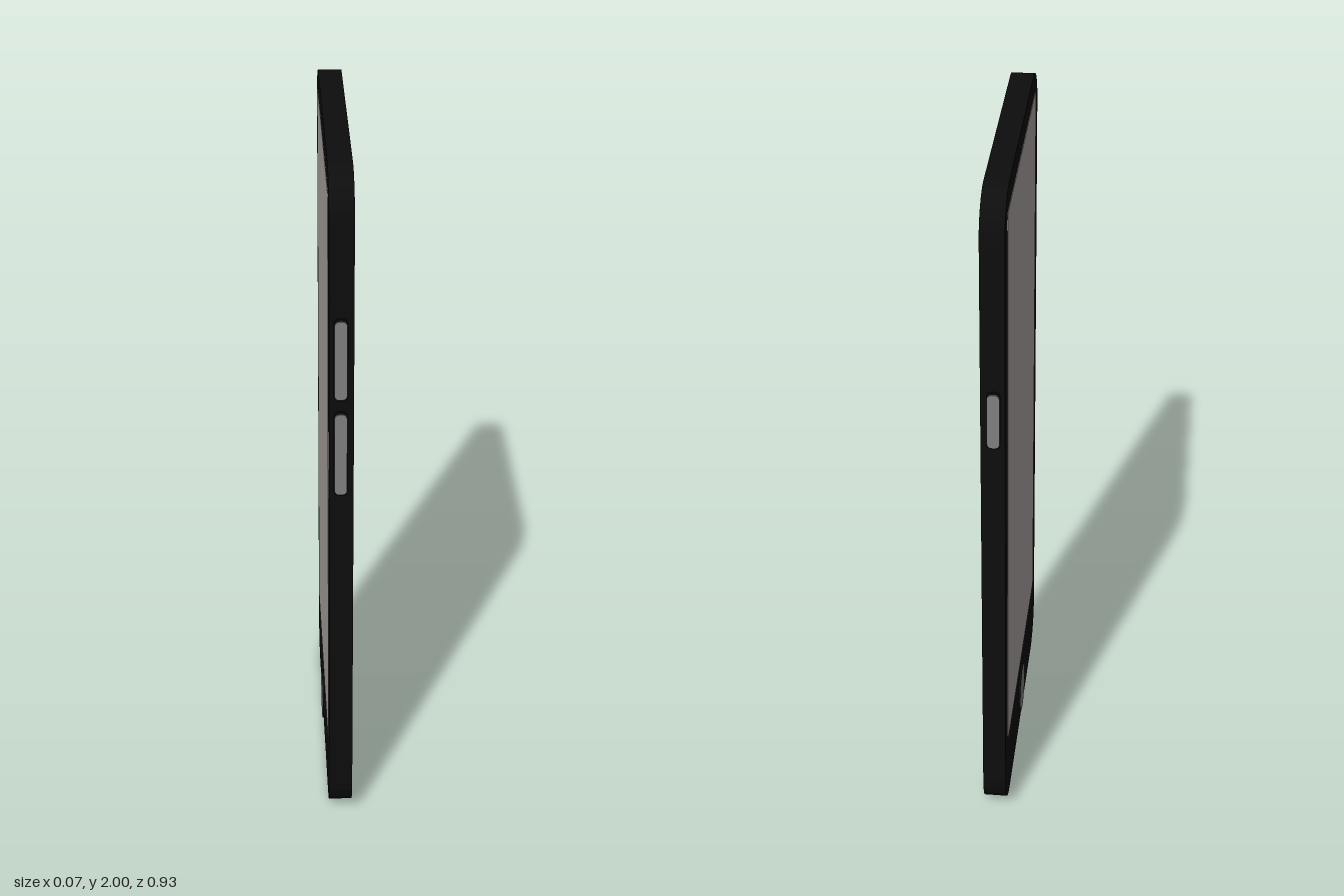
import * as THREE from 'three';

// Rounded rectangle centred on the origin
function roundedRect(w, h, r) {
  const s = new THREE.Shape();
  const x = w / 2, y = h / 2;
  s.absarc(x - r, y - r, r, 0, Math.PI / 2);
  s.absarc(-x + r, y - r, r, Math.PI / 2, Math.PI);
  s.absarc(-x + r, -y + r, r, Math.PI, Math.PI * 1.5);
  s.absarc(x - r, -y + r, r, Math.PI * 1.5, Math.PI * 2);
  s.closePath();
  return s;
}

function slab(w, h, r, depth, segments) {
  return new THREE.ExtrudeGeometry(roundedRect(w, h, r), {
    depth, bevelEnabled: false, curveSegments: segments,
  });
}

export function createModel() {
  const black = new THREE.MeshStandardMaterial({ color: 0x0d0d0d });
  black.name = 'black casing';
  const paleGrey = new THREE.MeshStandardMaterial({ color: 0xb0a8a6 });
  paleGrey.name = 'pale warm grey';
  const midGrey = new THREE.MeshStandardMaterial({ color: 0x808080 });
  midGrey.name = 'mid grey';

  const phone = new THREE.Group();
  phone.name = 'phone';
  const add = (name, geometry, material) => {
    const mesh = new THREE.Mesh(geometry, material);
    mesh.name = name;
    phone.add(mesh);
  };

  // Casing: thin along x, with coarse rounded corners
  add('casing', slab(0.912, 2, 0.115, 0.066, 3)
    .rotateY(Math.PI / 2).translate(-0.031, 1, 0), black);

  // Screen on the -x face
  add('screen', slab(0.79, 1.71, 0.018, 0.003, 3)
    .rotateY(Math.PI / 2).translate(-0.0325, 1.08, 0), paleGrey);

  // Round button below the screen, dark rim and grey face
  add('homeButton', new THREE.CylinderGeometry(0.075, 0.075, 0.01, 16)
    .rotateZ(Math.PI / 2).translate(-0.032, 0.11, 0), [black, midGrey, midGrey]);

  // Camera and flash discs on the +x face
  for (const [name, y, z, r, sides] of [
    ['cameraLens', 1.832, 0.245, 0.086, 16],
    ['cameraFlash', 1.61, 0.254, 0.059, 12],
  ]) {
    add(name, new THREE.CylinderGeometry(r, r, 0.004, sides)
      .rotateZ(Math.PI / 2).translate(0.0342, y, z), paleGrey);
  }

  // Edge buttons: two on the +z edge, one on the -z edge; dark rims, grey caps
  for (const [name, y, h, side] of [
    ['volumeUpButton', 1.495, 0.24, 1],
    ['volumeDownButton', 1.215, 0.256, 1],
    ['powerButton', 1.36, 0.176, -1],
  ]) {
    const turn = side > 0 ? 0 : Math.PI;
    add(name + 'Rim', slab(0.038, h, 0.015, 0.008, 2)
      .translate(0, 0, 0.454).rotateY(turn).translate(0, y, 0), black);
    add(name, slab(0.034, h - 0.012, 0.013, 0.01, 2)
      .translate(0, 0, 0.456).rotateY(turn).translate(0, y, 0), midGrey);
  }

  return phone;
}
